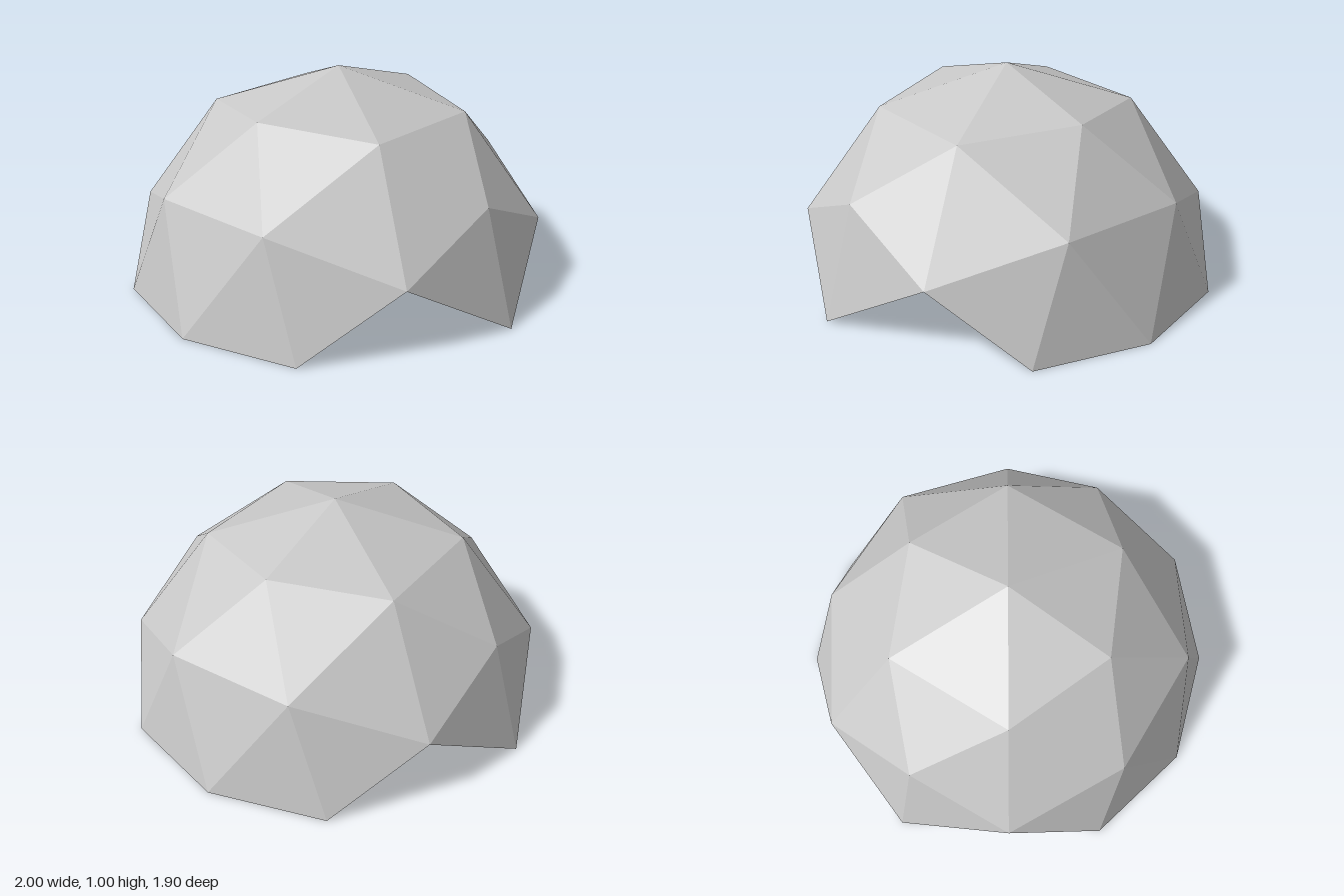
import * as THREE from 'three';

// Keep only the triangles of a non-indexed geometry that lie above the ground plane
function upperHalf(geometry) {
  const p = geometry.attributes.position;
  const kept = [];
  for (let i = 0; i < p.count; i += 3) {
    const centreY = (p.getY(i) + p.getY(i + 1) + p.getY(i + 2)) / 3;
    if (centreY < 0.01) continue;
    for (let j = i; j < i + 3; j++) kept.push(p.getX(j), p.getY(j), p.getZ(j));
  }
  const half = new THREE.BufferGeometry();
  half.setAttribute('position', new THREE.Float32BufferAttribute(kept, 3));
  half.computeVertexNormals();
  return half;
}

export function createModel() {
  const model = new THREE.Group();
  model.name = 'geodesicDome';
  const gray = new THREE.MeshStandardMaterial({ color: 0xc8c8c8, side: THREE.DoubleSide, flatShading: true });
  gray.name = 'light gray';

  // Faceted shell, turned so two feet sit on the x axis; four triangular doorways stay open
  const turn = Math.atan2(1, (1 + Math.sqrt(5)) / 2);
  const dome = new THREE.Mesh(upperHalf(new THREE.IcosahedronGeometry(1, 1).rotateY(turn)), gray);
  dome.name = 'domeShell';
  model.add(dome);

  // Small ragged sheet on the floor, front edge raised
  const outline = [
    [-0.115, 0.13], [0.1, 0.13], [0.11, 0.06], [0.075, 0], [0.13, -0.03], [0.11, -0.13],
    [-0.09, -0.13], [-0.11, -0.07], [-0.07, 0], [-0.12, 0.06],
  ].map(([x, z]) => new THREE.Vector2(x, -z));
  const sheet = new THREE.Mesh(new THREE.ShapeGeometry(new THREE.Shape(outline)), gray);
  sheet.name = 'floorSheet';
  sheet.rotation.x = -Math.PI / 2 - 0.19;
  sheet.position.y = 0.03;
  model.add(sheet);

  return model;
}
